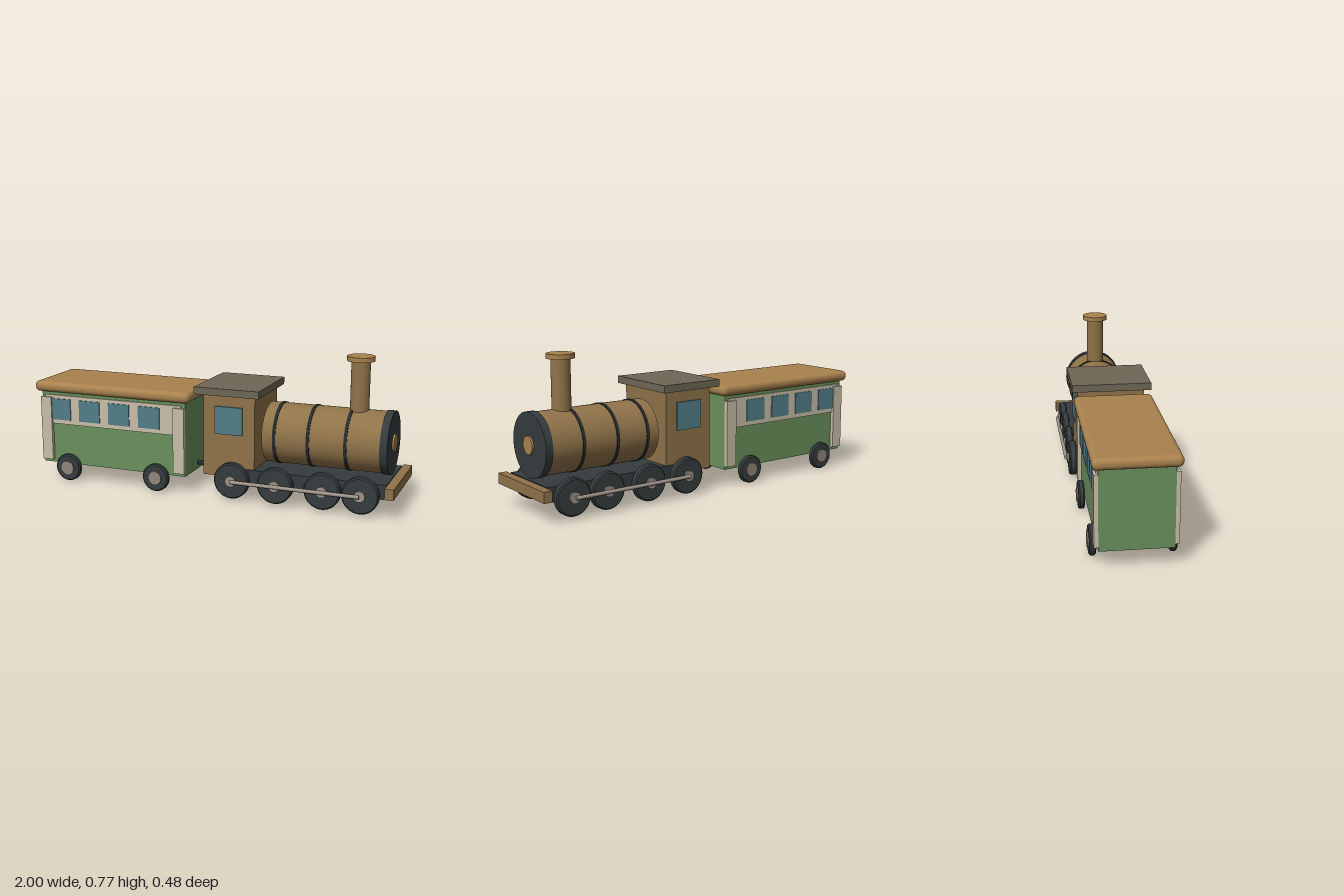
import * as THREE from 'three';
import { RoundedBoxGeometry } from 'three/addons/geometries/RoundedBoxGeometry.js';

const paint = (name, color) => {
  const m = new THREE.MeshStandardMaterial({ color });
  m.name = name;
  return m;
};

export function createModel() {
  const model = new THREE.Group();
  model.name = 'toyTrain';
  const brown = paint('brown', 0x907349);
  const tan = paint('tan', 0xa9824e);
  const green = paint('green', 0x6a905c);
  const cream = paint('cream', 0xc9bfa8);
  const glass = paint('glass', 0x527e8a);
  const iron = paint('iron', 0x353c3e);
  const black = paint('black', 0x252c2e);
  const slate = paint('slate', 0x6e6756);
  const steel = paint('steel', 0xa0948a);
  const hubGrey = paint('hubGrey', 0x92867a);

  const engine = new THREE.Group();
  engine.name = 'engine';
  const carriage = new THREE.Group();
  carriage.name = 'carriage';
  model.add(engine, carriage);

  const add = (parent, name, geometry, material) => {
    const mesh = new THREE.Mesh(geometry, material);
    mesh.name = name;
    parent.add(mesh);
    return mesh;
  };
  // Box given by its low and high corner on each axis
  const box = (parent, name, mat, [x0, x1], [y0, y1], [z0, z1]) =>
    add(parent, name, new THREE.BoxGeometry(x1 - x0, y1 - y0, z1 - z0), mat)
      .position.set((x0 + x1) / 2, (y0 + y1) / 2, (z0 + z1) / 2);
  // Cylinder lying along x
  const barrel = (parent, name, mat, r, x0, x1, y) => {
    const m = add(parent, name, new THREE.CylinderGeometry(r, r, x1 - x0, 48), mat);
    m.rotation.z = -Math.PI / 2;
    m.position.set((x0 + x1) / 2, y, 0);
  };
  // Plate on both flanks, between distances z0 and z1 from the middle
  const flanks = (parent, name, mat, xs, ys, z0, z1) => {
    box(parent, name + 'Left', mat, xs, ys, [z0, z1]);
    box(parent, name + 'Right', mat, xs, ys, [-z1, -z0]);
  };
  // Wheel with softened rim and a hub on the outer face, on both sides
  const wheels = (parent, x, y, r, z0, z1, hubR, hubZ, hubMat) => {
    const w = z1 - z0, b = 0.007;
    const profile = [[0, 0], [r - b, 0], [r - b, 0], [r, b], [r, b], [r, w - b], [r, w - b],
      [r - b, w], [r - b, w], [0, w]].map(p => new THREE.Vector2(...p));
    for (const s of [1, -1]) {
      const wheel = new THREE.Group();
      wheel.name = s > 0 ? 'wheelLeft' : 'wheelRight';
      wheel.position.set(x, y, s * z0);
      wheel.rotation.x = s * Math.PI / 2;
      add(wheel, 'tyre', new THREE.LatheGeometry(profile, 40), iron);
      const h = hubZ - z1 + 0.01;
      add(wheel, 'hub', new THREE.CylinderGeometry(hubR, hubR, h, 24), hubMat)
        .position.y = hubZ - z0 - h / 2;
      parent.add(wheel);
    }
  };

  // Engine frame, buffer beam and cab
  box(engine, 'chassis', iron, [0.08, 0.955], [0.095, 0.17], [-0.183, 0.183]);
  box(engine, 'bufferBeam', brown, [0.955, 1], [0.11, 0.165], [-0.228, 0.228]);
  box(engine, 'cab', brown, [-0.01, 0.27], [0.12, 0.55], [-0.177, 0.177]);
  box(engine, 'cabRoof', slate, [-0.05, 0.3], [0.549, 0.587], [-0.208, 0.208]);
  flanks(engine, 'cabWindow', glass, [0.055, 0.205], [0.345, 0.49], 0.177, 0.186);

  // Boiler with bands, smokebox door and chimney
  const boilerY = 0.338;
  barrel(engine, 'boiler', brown, 0.157, 0.3, 0.91, boilerY);
  for (const x of [0.365, 0.542, 0.735])
    barrel(engine, 'boilerBand', black, 0.161, x - 0.008, x + 0.008, boilerY);
  barrel(engine, 'smokebox', iron, 0.162, 0.907, 0.945, boilerY);
  barrel(engine, 'doorBoss', tan, 0.045, 0.94, 0.955, boilerY);
  add(engine, 'chimney', new THREE.CylinderGeometry(0.048, 0.048, 0.29, 32), brown)
    .position.set(0.765, 0.6, 0);
  add(engine, 'chimneyCap', new THREE.CylinderGeometry(0.07, 0.07, 0.024, 32), tan)
    .position.set(0.765, 0.754, 0);

  // Driving wheels and coupling rods
  for (const x of [0.155, 0.39, 0.637, 0.83])
    wheels(engine, x, 0.108, 0.094, 0.175, 0.215, 0.028, 0.225, steel);
  for (const s of [1, -1]) {
    const rod = add(engine, s > 0 ? 'rodLeft' : 'rodRight',
      new THREE.CylinderGeometry(0.01, 0.01, 0.675, 16), steel);
    rod.rotation.z = Math.PI / 2;
    rod.position.set(0.4925, 0.108, s * 0.229);
  }

  // Coupling between the engine and carriage
  barrel(model, 'coupling', black, 0.012, -0.13, 0.01, 0.124);

  // Carriage body, roof, window band and corner posts
  box(carriage, 'body', green, [-0.965, -0.115], [0.09, 0.51], [-0.175, 0.175]);
  add(carriage, 'roof', new RoundedBoxGeometry(0.917, 0.058, 0.41, 3, 0.027), tan)
    .position.set(-0.5415, 0.517, 0);
  flanks(carriage, 'windowBand', cream, [-0.945, -0.135], [0.312, 0.472], 0.175, 0.183);
  for (let i = 0; i < 4; i++) {
    const x = -0.85 + i * 0.177;
    flanks(carriage, 'window', glass, [x - 0.062, x + 0.062], [0.336, 0.453], 0.182, 0.188);
  }
  for (const x of [-0.965, -0.177])
    flanks(carriage, 'cornerPost', cream, [x, x + 0.063], [0.108, 0.46], 0.174, 0.195);

  // Carriage wheels
  for (const x of [-0.805, -0.278])
    wheels(carriage, x, 0.074, 0.074, 0.174, 0.205, 0.037, 0.212, hubGrey);

  return model;
}
